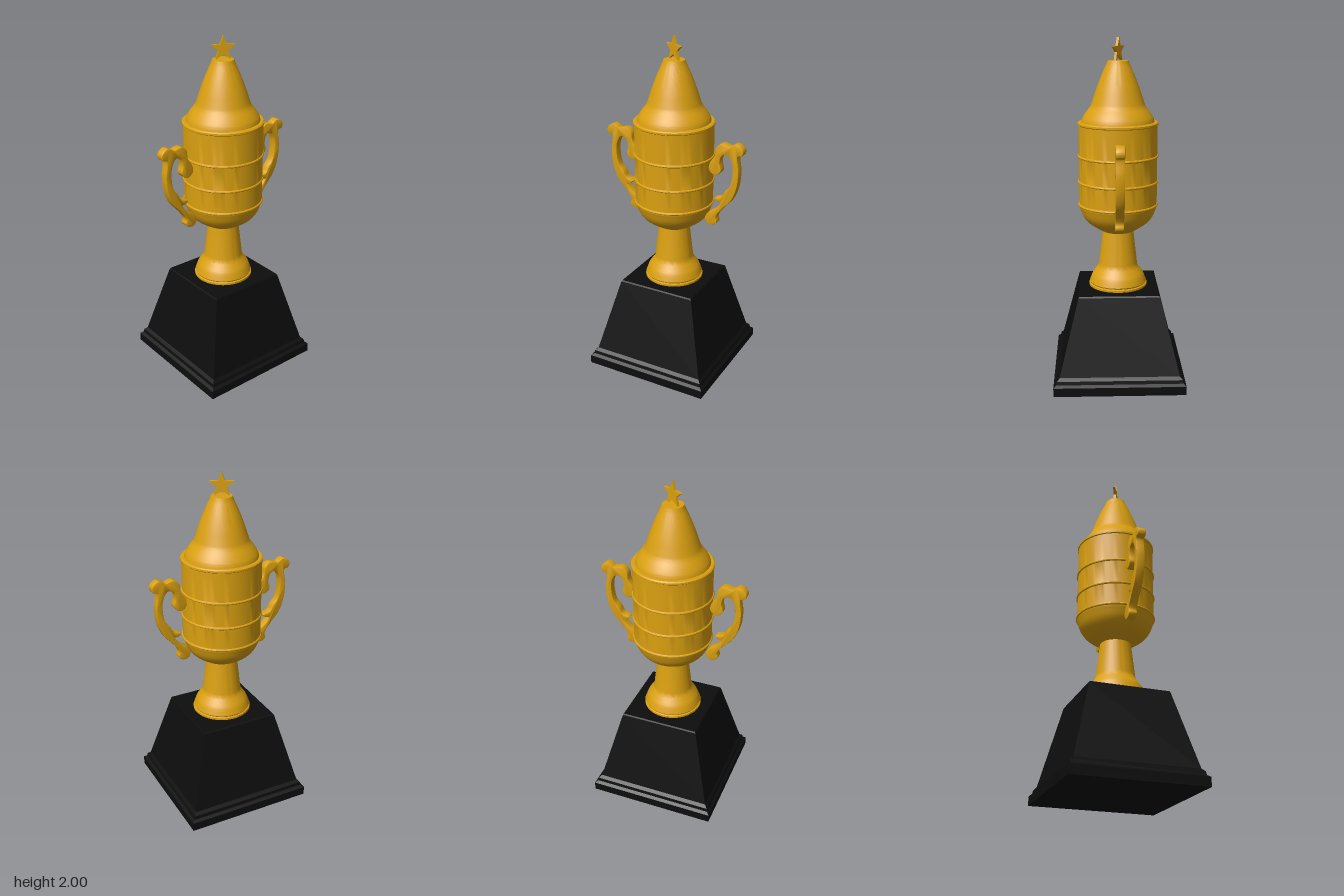
import * as THREE from 'three';
import { toCreasedNormals } from 'three/addons/utils/BufferGeometryUtils.js';

const gold = new THREE.MeshStandardMaterial({ color: 0xdaa010 });
const black = new THREE.MeshStandardMaterial({ color: 0x0d0d0d });

const vectors = (points) => points.map(([x, y]) => new THREE.Vector2(x, y));

function addMesh(parent, name, geometry, material) {
  const mesh = new THREE.Mesh(geometry, material);
  mesh.name = name;
  parent.add(mesh);
  return mesh;
}

// Smooth curve through a few [radius, y] points
const smooth = (points, n) => new THREE.SplineCurve(vectors(points)).getPoints(n);

const turned = (points) => toCreasedNormals(new THREE.LatheGeometry(points, 72), 0.55);

// Small rounded bead around the body at height y
const bead = (y) => vectors([[0.227, y - 0.008], [0.232, y - 0.005], [0.234, y], [0.232, y + 0.005], [0.227, y + 0.008]]);

// Handle outline as [distance from axis, height]
function handleGeometry() {
  const outline = vectors([
    [0.436, 1.413], [0.425, 1.434], [0.397, 1.45], [0.375, 1.443], [0.354, 1.43], [0.328, 1.437],
    [0.302, 1.439], [0.272, 1.413], [0.265, 1.365], [0.235, 1.317], [0.232, 1.275], [0.27, 1.249],
    [0.305, 1.278], [0.296, 1.328], [0.31, 1.372], [0.344, 1.38], [0.37, 1.339], [0.376, 1.275],
    [0.362, 1.2], [0.333, 1.164], [0.312, 1.127], [0.268, 1.112], [0.286, 1.094], [0.307, 1.09],
    [0.27, 1.042], [0.235, 1.018], [0.212, 0.98], [0.228, 0.946], [0.26, 0.942], [0.286, 0.963],
    [0.28, 0.995], [0.323, 1.058], [0.37, 1.111], [0.402, 1.19], [0.412, 1.286], [0.404, 1.381],
    [0.428, 1.388],
  ]);
  const closed = new THREE.CatmullRomCurve3(outline.map((p) => new THREE.Vector3(p.x, p.y, 0)), true);
  const shape = new THREE.Shape(closed.getPoints(160).slice(0, -1).map((p) => new THREE.Vector2(p.x, p.y)));
  const geometry = new THREE.ExtrudeGeometry(shape, {
    depth: 0.04, bevelEnabled: true, bevelThickness: 0.005, bevelSize: 0.005, bevelOffset: -0.005, bevelSegments: 2,
  });
  geometry.translate(0, 0, -0.02).rotateY(-Math.PI / 2);
  return toCreasedNormals(geometry, 0.6);
}

function starGeometry(radius, thickness) {
  const points = [];
  for (let i = 0; i < 10; i++) {
    const r = i % 2 ? radius * 0.42 : radius;
    const a = Math.PI / 2 + (i * Math.PI) / 5;
    points.push(new THREE.Vector2(r * Math.cos(a), r * Math.sin(a)));
  }
  const geometry = new THREE.ExtrudeGeometry(new THREE.Shape(points), { depth: thickness, bevelEnabled: false });
  return geometry.translate(0, 0, -thickness / 2);
}

export function createModel() {
  const trophy = new THREE.Group();
  trophy.name = 'trophy';

  // Square plinth: a four-sided lathe turned to line up with the axes
  const plinth = vectors([
    [0, 0], [0.382, 0], [0.382, 0.052], [0.366, 0.064], [0.362, 0.084], [0.346, 0.1], [0.235, 0.542], [0.23, 0.55], [0, 0.55],
  ].map(([r, y]) => [r * Math.SQRT2, y]));
  const plinthGeometry = new THREE.LatheGeometry(plinth, 4).rotateY(Math.PI / 4);
  addMesh(trophy, 'plinth', toCreasedNormals(plinthGeometry, 0.1), black);

  // Flared foot and stem
  addMesh(trophy, 'stem', turned([
    ...vectors([[0, 0.548], [0.172, 0.548], [0.172, 0.562], [0.164, 0.566]]),
    ...smooth([[0.168, 0.574], [0.153, 0.615], [0.135, 0.642], [0.117, 0.667]], 12),
    ...vectors([[0.113, 0.69], [0.09, 0.89]]),
  ]), gold);

  // Cup with rounded bottom, three beads and a rim
  addMesh(trophy, 'cup', turned([
    ...vectors([[0, 0.88]]),
    ...smooth([[0.085, 0.88], [0.125, 0.903], [0.175, 0.938], [0.205, 0.977], [0.222, 1.02], [0.227, 1.034]], 20),
    ...bead(1.045), ...bead(1.18), ...bead(1.33),
    ...vectors([[0.227, 1.508], [0.232, 1.512], [0.232, 1.522], [0.225, 1.528], [0.208, 1.528], [0, 1.528]]),
  ]), gold);

  // Tapering lid
  addMesh(trophy, 'lid', turned([
    ...smooth([[0.21, 1.526], [0.203, 1.55], [0.183, 1.582], [0.158, 1.616], [0.145, 1.65], [0.125, 1.71],
      [0.098, 1.78], [0.066, 1.852]], 32),
    ...vectors([[0.06, 1.87], [0, 1.872]]),
  ]), gold);

  // Matching scroll handles at front and back
  const handle = handleGeometry();
  addMesh(trophy, 'frontHandle', handle, gold);
  addMesh(trophy, 'backHandle', handle, gold).rotation.y = Math.PI;

  // Star finial, set at an angle
  const star = addMesh(trophy, 'star', starGeometry(0.072, 0.015), gold);
  star.position.y = 1.928;
  star.rotation.y = 1.1;

  return trophy;
}
